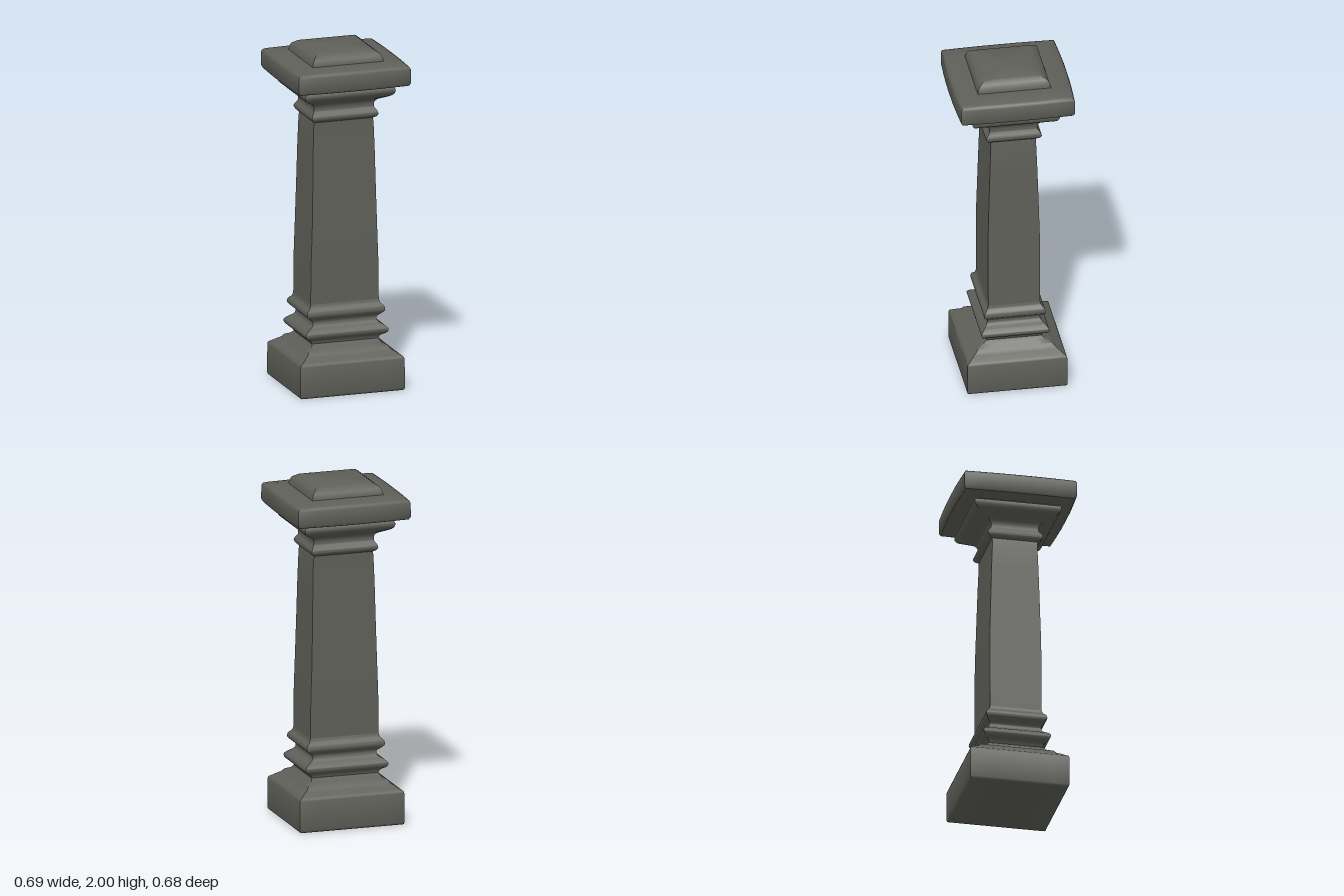
import * as THREE from 'three';
import { toCreasedNormals } from 'three/addons/utils/BufferGeometryUtils.js';

const CORNERS = [[-1, 1], [1, 1], [1, -1], [-1, -1]];
const SEGMENTS = 6;

// Loft rectangular rings [y, half width, half depth] upwards; bulge bows the sides outwards
function loft(rings, bulgeX = 0, bulgeZ = 0) {
  const positions = [], index = [];
  const around = 4 * SEGMENTS;
  for (const [y, hx, hz] of rings) {
    const full = hx > 0.3 ? 1 : 0;
    for (let side = 0; side < 4; side++) {
      const [x0, z0] = CORNERS[side], [x1, z1] = CORNERS[(side + 1) % 4];
      for (let i = 0; i < SEGMENTS; i++) {
        const t = i / SEGMENTS;
        const x = x0 + (x1 - x0) * t, z = z0 + (z1 - z0) * t;
        const bow = full * Math.min(1, Math.sin(Math.PI * t) * 1.1);
        const onX = side % 2 === 1;
        positions.push(
          x * hx + (onX ? x * bulgeX * bow : 0), y,
          z * hz + (onX ? 0 : z * bulgeZ * bow));
      }
    }
  }
  for (let j = 0; j < rings.length - 1; j++) {
    for (let i = 0; i < around; i++) {
      const a = j * around + i, b = j * around + (i + 1) % around;
      index.push(a, b, b + around, a, b + around, a + around);
    }
  }
  const geometry = new THREE.BufferGeometry();
  geometry.setAttribute('position', new THREE.Float32BufferAttribute(positions, 3));
  geometry.setIndex(index);
  return toCreasedNormals(geometry, 0.75);
}

// Round a moulding profile by running a curve through its rings
function rounded(rings) {
  const curve = new THREE.CatmullRomCurve3(rings.map(r => new THREE.Vector3(...r)));
  return curve.getPoints((rings.length - 1) * 4).map(p => [p.x, p.y, p.z]);
}

export function createModel() {
  const model = new THREE.Group();
  const stone = new THREE.MeshStandardMaterial({ color: 0x5f6059 });
  stone.name = 'dark stone';

  const add = (name, geometry) => {
    const mesh = new THREE.Mesh(geometry, stone);
    mesh.name = name;
    model.add(mesh);
  };

  // Square foot with a stepped, sloping top
  add('plinth', loft([
    [0, 0, 0], [0, 0.305, 0.28], [0.004, 0.311, 0.286], [0.015, 0.315, 0.29],
    [0.185, 0.314, 0.289], [0.196, 0.31, 0.285], [0.205, 0.297, 0.272],
    [0.225, 0.268, 0.245], [0.236, 0.25, 0.228], [0.252, 0.24, 0.215],
    [0.268, 0.21, 0.18], [0.285, 0.2, 0.157],
  ]));

  // Two rounded bands below the shaft
  add('baseMoulding', loft(rounded([
    [0.285, 0.2, 0.157], [0.305, 0.212, 0.165], [0.325, 0.243, 0.19],
    [0.345, 0.249, 0.196], [0.365, 0.232, 0.182], [0.39, 0.196, 0.157],
    [0.412, 0.192, 0.151], [0.432, 0.215, 0.164], [0.452, 0.234, 0.177],
    [0.475, 0.231, 0.173], [0.495, 0.212, 0.157], [0.515, 0.206, 0.15],
  ])));

  // Tapering rectangular shaft
  add('shaft', loft([
    [0.515, 0.206, 0.15], [0.75, 0.203, 0.151], [0.95, 0.196, 0.15],
    [1.2, 0.19, 0.143], [1.4, 0.186, 0.137], [1.56, 0.181, 0.131], [1.585, 0.177, 0.132],
  ]));

  // Narrow band, then a flare up to the slab
  add('neckMoulding', loft(rounded([
    [1.585, 0.177, 0.132], [1.597, 0.192, 0.152], [1.615, 0.2, 0.161],
    [1.632, 0.194, 0.153], [1.65, 0.183, 0.14], [1.672, 0.181, 0.138],
    [1.692, 0.188, 0.148], [1.712, 0.215, 0.185], [1.725, 0.237, 0.214],
    [1.742, 0.262, 0.24], [1.765, 0.272, 0.253], [1.782, 0.268, 0.249],
    [1.795, 0.238, 0.22], [1.815, 0.225, 0.21],
  ])));

  // Wide slab with slightly bowed sides
  add('capSlab', loft([
    [1.803, 0.2, 0.19], [1.803, 0.315, 0.305], [1.808, 0.33, 0.32],
    [1.825, 0.339, 0.329], [1.905, 0.338, 0.328], [1.918, 0.332, 0.322],
    [1.926, 0.318, 0.308], [1.934, 0.25, 0.245], [1.936, 0.19, 0.19],
  ], 0.007, 0.011));

  // Small bevelled block on top
  add('topBlock', loft([
    [1.93, 0.215, 0.213], [1.945, 0.212, 0.21], [1.968, 0.205, 0.203],
    [1.98, 0.196, 0.193], [1.995, 0.175, 0.168], [2, 0.165, 0.158], [2, 0, 0],
  ]));

  return model;
}
